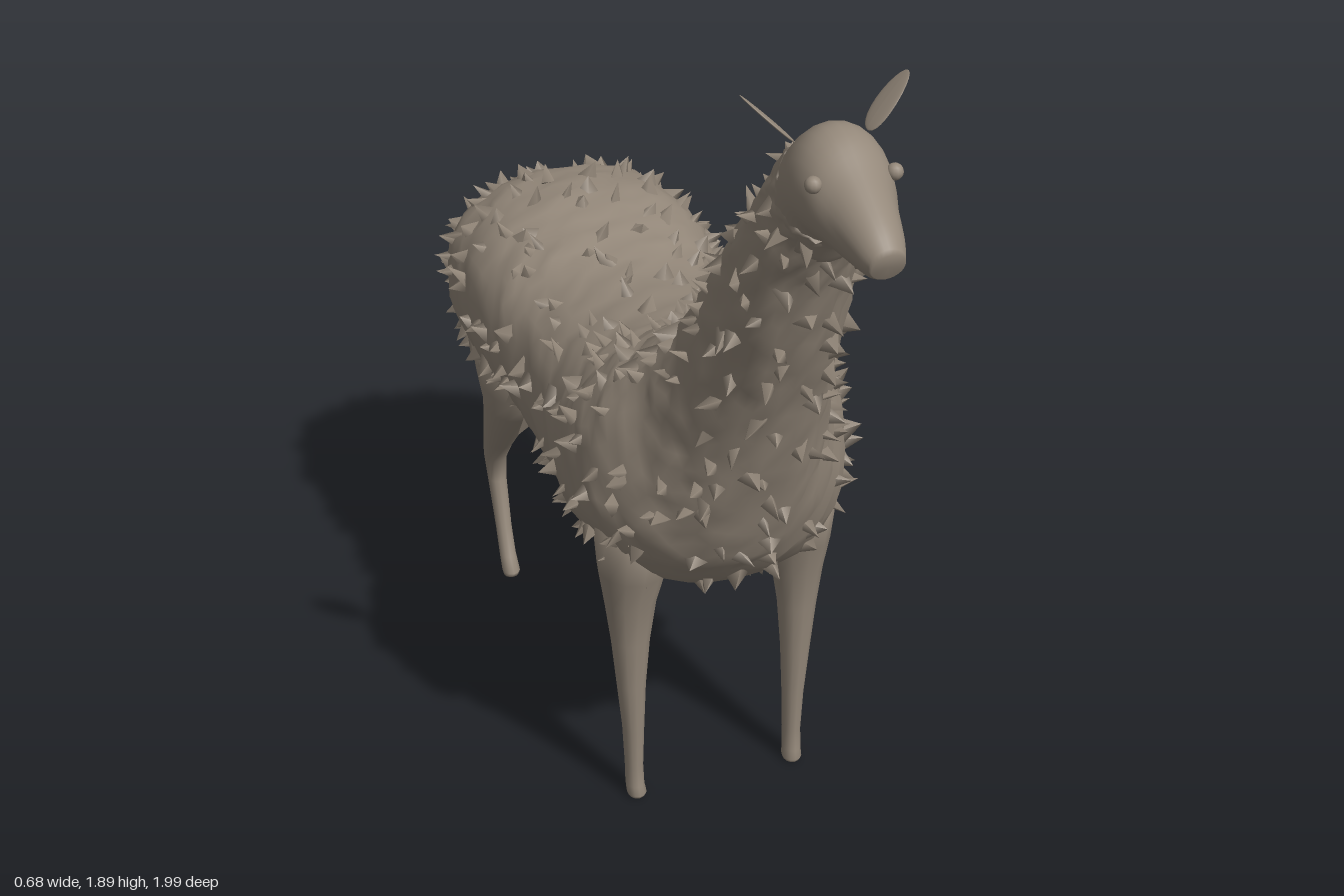
import * as THREE from 'three';
import { mergeGeometries } from 'three/addons/utils/BufferGeometryUtils.js';

// Small seeded random source
function seeded(seed) {
  return () => {
    seed = (seed * 16807) % 2147483647;
    return seed / 2147483647;
  };
}

// Surface through rings given as [zTop, yTop, zBottom, yBottom, halfWidth]
function ringSurface(rings, power) {
  const top = new THREE.CatmullRomCurve3(rings.map(r => new THREE.Vector3(r[4], r[1], r[0])), false, 'catmullrom', 0.5);
  const low = new THREE.CatmullRomCurve3(rings.map(r => new THREE.Vector3(0, r[3], r[2])), false, 'catmullrom', 0.5);
  const bend = v => Math.sign(v) * Math.pow(Math.abs(v), 2 / power);
  return (t, angle) => {
    const a = top.getPoint(t), b = low.getPoint(t);
    const up = bend(Math.cos(angle)) / 2;
    return new THREE.Vector3(a.x * bend(Math.sin(angle)),
      (a.y + b.y) / 2 + (a.y - b.y) * up, (a.z + b.z) / 2 + (a.z - b.z) * up);
  };
}

function surfaceNormal(surface, t, angle) {
  const e = 0.003;
  const along = surface(Math.min(1, t + e), angle).sub(surface(Math.max(0, t - e), angle));
  const around = surface(t, angle + e).sub(surface(t, angle - e));
  return along.cross(around).normalize();
}

// Closed skin over point rings; end rings are collapsed to their centres
function skin(ringPoints) {
  const n = ringPoints[0].length;
  const collapse = ring => {
    const c = new THREE.Vector3();
    ring.forEach(p => c.add(p));
    c.divideScalar(n);
    return ring.map(() => c);
  };
  const all = [collapse(ringPoints[0]), ...ringPoints, collapse(ringPoints[ringPoints.length - 1])];
  const index = [];
  for (let i = 0; i < all.length - 1; i++) {
    for (let j = 0; j < n; j++) {
      const a = i * n + j, b = i * n + (j + 1) % n;
      index.push(a, a + n, b, b, a + n, b + n);
    }
  }
  const g = new THREE.BufferGeometry();
  g.setAttribute('position', new THREE.Float32BufferAttribute(all.flat().flatMap(p => p.toArray()), 3));
  g.setIndex(index);
  g.computeVertexNormals();
  return g;
}

function skinSurface(surface, sections, sides, noise = () => 0) {
  const rings = [];
  for (let i = 0; i <= sections; i++) {
    const ring = [];
    for (let j = 0; j < sides; j++) {
      const t = i / sections, a = j / sides * Math.PI * 2;
      ring.push(surface(t, a).addScaledVector(surfaceNormal(surface, t, a), noise()));
    }
    rings.push(ring);
  }
  return skin(rings);
}

// Leg from rows of [y, zBack, zFront, xInner, xOuter], top to bottom
function legGeometry(rows) {
  return skin(rows.map(([y, zb, zf, xi, xo]) => {
    const ring = [];
    for (let j = 0; j < 12; j++) {
      const a = j / 12 * Math.PI * 2;
      ring.push(new THREE.Vector3((xi + xo) / 2 + (xo - xi) / 2 * Math.sin(a), y, (zb + zf) / 2 + (zf - zb) / 2 * Math.cos(a)));
    }
    return ring;
  }));
}

export function createModel() {
  const group = new THREE.Group();
  const wool = new THREE.MeshStandardMaterial({ color: 0x94887a, side: THREE.DoubleSide });
  wool.name = 'taupe wool';
  const add = (name, geometry) => {
    const mesh = new THREE.Mesh(geometry, wool);
    mesh.name = name;
    group.add(mesh);
    return mesh;
  };
  const rand = seeded(4711);

  // Woolly trunk and neck, rump to throat
  const body = ringSurface([
    [-0.96, 0.90, -0.96, 0.76, 0.10],
    [-0.945, 0.96, -0.945, 0.68, 0.20],
    [-0.90, 1.02, -0.90, 0.62, 0.26],
    [-0.80, 1.06, -0.80, 0.59, 0.295],
    [-0.65, 1.07, -0.66, 0.58, 0.305],
    [-0.50, 1.045, -0.50, 0.585, 0.295],
    [-0.35, 1.02, -0.35, 0.575, 0.28],
    [-0.15, 1.035, -0.15, 0.55, 0.28],
    [0.00, 1.07, 0.02, 0.535, 0.295],
    [0.08, 1.11, 0.18, 0.56, 0.30],
    [0.14, 1.145, 0.32, 0.62, 0.27],
    [0.20, 1.20, 0.415, 0.75, 0.205],
    [0.27, 1.28, 0.475, 0.92, 0.16],
    [0.36, 1.40, 0.54, 1.10, 0.135],
    [0.47, 1.545, 0.62, 1.29, 0.12],
    [0.57, 1.66, 0.69, 1.47, 0.105],
    [0.63, 1.74, 0.745, 1.58, 0.095],
    [0.67, 1.785, 0.785, 1.62, 0.09],
  ], 2.25);
  add('woolBody', skinSurface(body, 80, 40, () => (rand() - 0.5) * 0.012));

  // Pointed tufts scattered over the wool, denser where the trunk is wide
  const tufts = [];
  const up = new THREE.Vector3(0, 1, 0);
  for (let i = 0; i < 62; i++) {
    const t = (i + 0.5) / 62 * 0.95;
    const count = Math.round(3 + 26 * Math.abs(body(t, Math.PI / 2).x));
    for (let j = 0; j < count; j++) {
      const tt = Math.max(0.005, t + (rand() - 0.5) * 0.015);
      const a = (j + rand()) / count * Math.PI * 2;
      const n = surfaceNormal(body, tt, a);
      const dir = n.clone().add(new THREE.Vector3(rand() - 0.5, rand() - 0.5, rand() - 0.5).multiplyScalar(0.9)).normalize();
      const h = 0.035 + rand() * 0.025;
      const tuft = new THREE.ConeGeometry(0.022 + rand() * 0.012, h, 4);
      tuft.scale(1, 1, 0.6);
      tuft.rotateY(rand() * 6.28);
      tuft.applyQuaternion(new THREE.Quaternion().setFromUnitVectors(up, dir));
      const p = body(tt, a).addScaledVector(dir, h * 0.22);
      tufts.push(tuft.translate(p.x, p.y, p.z));
    }
  }
  add('woolTufts', mergeGeometries(tufts));

  // Smooth head tapering to the muzzle
  const head = ringSurface([
    [0.61, 1.715, 0.74, 1.56, 0.088],
    [0.67, 1.79, 0.79, 1.625, 0.095],
    [0.73, 1.833, 0.83, 1.632, 0.092],
    [0.79, 1.832, 0.87, 1.632, 0.082],
    [0.86, 1.79, 0.91, 1.63, 0.064],
    [0.95, 1.735, 0.955, 1.632, 0.046],
    [0.995, 1.695, 0.975, 1.64, 0.032],
  ], 2);
  add('head', skinSurface(head, 30, 24));

  // Tail lying against the rump
  const tail = new THREE.CatmullRomCurve3([
    new THREE.Vector3(0, 0.99, -0.935), new THREE.Vector3(0, 0.93, -0.975), new THREE.Vector3(0, 0.83, -0.98),
  ]);
  add('tail', new THREE.TubeGeometry(tail, 8, 0.015, 8));

  const frontRows = [
    [0.72, 0.07, 0.29, 0.10, 0.27], [0.60, 0.095, 0.26, 0.115, 0.262], [0.52, 0.12, 0.235, 0.135, 0.25],
    [0.42, 0.135, 0.222, 0.15, 0.237], [0.30, 0.143, 0.213, 0.16, 0.225], [0.18, 0.150, 0.207, 0.165, 0.213],
    [0.08, 0.153, 0.203, 0.168, 0.208], [0.03, 0.155, 0.208, 0.167, 0.208], [0.01, 0.16, 0.215, 0.164, 0.208],
    [0.0, 0.165, 0.208, 0.168, 0.204],
  ];
  const hindRows = [
    [0.74, -0.86, -0.50, 0.08, 0.28], [0.60, -0.81, -0.53, 0.11, 0.265], [0.53, -0.78, -0.59, 0.13, 0.252],
    [0.45, -0.805, -0.665, 0.147, 0.24], [0.37, -0.845, -0.74, 0.158, 0.228], [0.30, -0.87, -0.80, 0.163, 0.218],
    [0.24, -0.855, -0.802, 0.166, 0.213], [0.12, -0.815, -0.77, 0.168, 0.208], [0.05, -0.79, -0.743, 0.167, 0.208],
    [0.015, -0.777, -0.72, 0.164, 0.208], [0.0, -0.765, -0.73, 0.168, 0.204],
  ];

  // Mirrored pairs
  for (const [side, s] of [['left', 1], ['right', -1]]) {
    for (const [name, rows] of [['FrontLeg', frontRows], ['HindLeg', hindRows]]) {
      const mirrored = rows.map(([y, b, f, i, o]) => s > 0 ? [y, b, f, i, o] : [y, b, f, -o, -i]);
      add(side + name, legGeometry(mirrored));
    }
    add(side + 'Eye', new THREE.SphereGeometry(0.016, 12, 8)).position.set(s * 0.077, 1.767, 0.832);

    // Thin leaf-shaped ear curving outward and up
    const ear = new THREE.SphereGeometry(1, 16, 12);
    const p = ear.attributes.position;
    for (let i = 0; i < p.count; i++) {
      const k = p.getY(i);
      p.setXYZ(i,
        s * (0.115 + 0.045 * k) + p.getX(i) * 0.005 + s * 0.008 * (k * k - 1),
        1.847 + 0.044 * k - 0.008 * (1 - k * k),
        0.712 - 0.015 * k + p.getZ(i) * 0.033);
    }
    ear.computeVertexNormals();
    add(side + 'Ear', ear);
  }
  return group;
}
